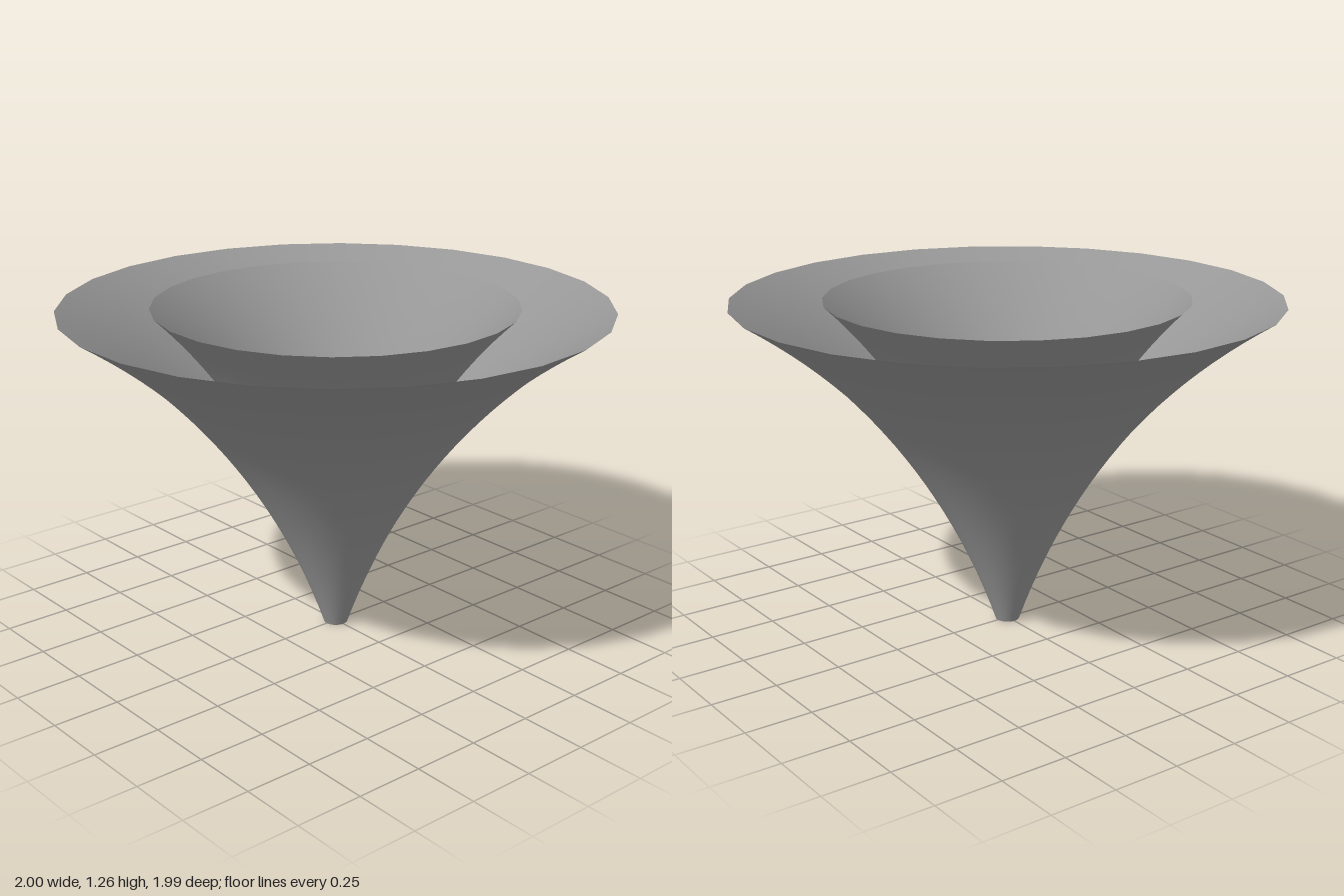
import * as THREE from 'three';

const HEIGHT = 1.256;
const SIDES = 26;

export function createModel() {
  const group = new THREE.Group();
  const material = new THREE.MeshStandardMaterial({ color: 0x979797, side: THREE.DoubleSide });

  // Flaring profile from the narrow spout to the wide rim
  const profile = new THREE.QuadraticBezierCurve(
    new THREE.Vector2(0.045, 0),
    new THREE.Vector2(0.325, 0.825),
    new THREE.Vector2(1, HEIGHT)
  ).getPoints(24);

  // Open, thin-walled funnel, narrowed by a width factor
  function addFunnel(name, width) {
    const points = profile.map((p) => new THREE.Vector2(p.x * width, p.y));
    const geometry = new THREE.LatheGeometry(points, SIDES, Math.PI / 2);
    const mesh = new THREE.Mesh(geometry, material);
    mesh.name = name;
    group.add(mesh);
  }

  addFunnel('outerFunnel', 1);
  addFunnel('innerFunnel', 2 / 3);

  return group;
}
